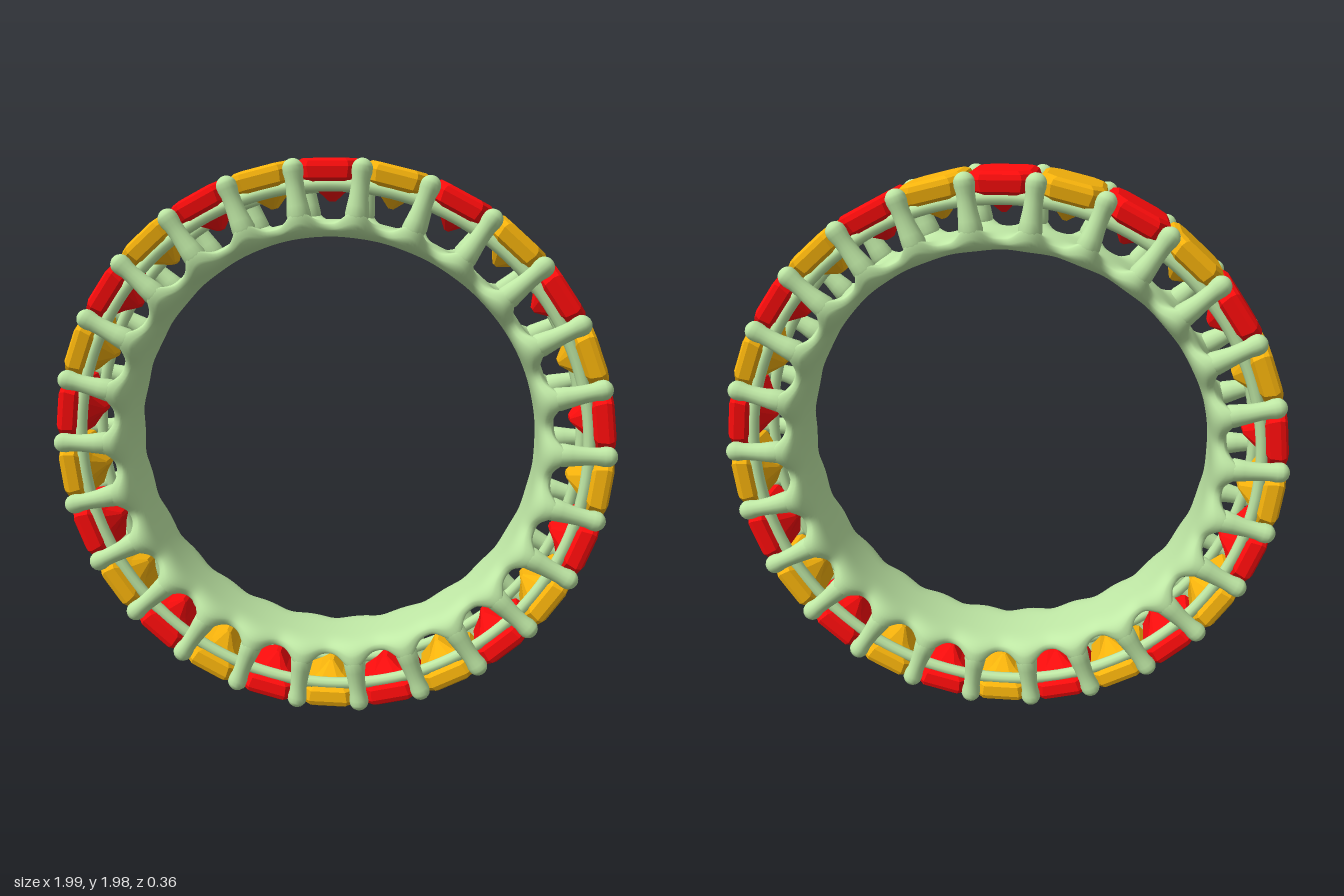
import * as THREE from 'three';

const COUNT = 26;
const STEP = (Math.PI * 2) / COUNT;
const metal = new THREE.MeshStandardMaterial({ color: 0xbfe8a5 });
const red = new THREE.MeshStandardMaterial({ color: 0xff0c0c, flatShading: true });
const amber = new THREE.MeshStandardMaterial({ color: 0xf8b40c, flatShading: true });

// Closed ring surface: section(angle, t) returns [radius, z]; smooth and shared across the seams
function ringSurface(segA, segT, section) {
  const pos = [], idx = [];
  for (let i = 0; i < segA; i++) {
    const a = (i / segA) * Math.PI * 2;
    for (let j = 0; j < segT; j++) {
      const [r, z] = section(a, (j / segT) * Math.PI * 2);
      pos.push(Math.sin(a) * r, Math.cos(a) * r, z);
      const i2 = (i + 1) % segA, j2 = (j + 1) % segT;
      const p = i * segT + j, q = i2 * segT + j, s = i2 * segT + j2, u = i * segT + j2;
      idx.push(p, s, q, p, u, s);
    }
  }
  const g = new THREE.BufferGeometry();
  g.setAttribute('position', new THREE.Float32BufferAttribute(pos, 3));
  g.setIndex(idx);
  g.computeVertexNormals();
  return g;
}

// Inner band: widens and climbs at its edges wherever a claw grows out of it
function bandSection(a, t) {
  const bump = 0.5 - 0.5 * Math.cos(a * COUNT);
  const soft = (v) => Math.sign(v) * Math.pow(Math.abs(v), 0.6);
  const across = soft(Math.sin(t));
  const edge = Math.abs(across);
  const z = (0.138 + 0.038 * bump) * across;
  const inner = 0.73 + 0.012 * Math.pow(edge, 6);
  const outer = 0.788 + 0.075 * Math.pow(bump, 1.7) * Math.pow(edge, 3);
  return [inner + (outer - inner) * (0.5 + 0.5 * soft(Math.cos(t))), z];
}

// Step-cut stone: stacked octagons [height, half width, half depth, corner cut]
function stoneGeometry() {
  const tiers = [
    [0.848, 0.008, 0.035, 0.004],
    [0.885, 0.045, 0.09, 0.02],
    [0.925, 0.104, 0.147, 0.04],
    [0.962, 0.114, 0.152, 0.044],
    [0.979, 0.108, 0.146, 0.042],
    [0.989, 0.092, 0.13, 0.036],
  ];
  const pos = [], idx = [];
  tiers.forEach(([y, w, d, c]) => {
    const ring = [[w, d - c], [w, c - d], [w - c, -d], [c - w, -d], [-w, c - d], [-w, d - c], [c - w, d], [w - c, d]];
    ring.forEach(([x, z]) => pos.push(x, y, z));
  });
  for (let k = 0; k < tiers.length - 1; k++) {
    for (let j = 0; j < 8; j++) {
      const p = k * 8 + j, q = k * 8 + ((j + 1) % 8);
      idx.push(p, q, q + 8, p, q + 8, p + 8);
    }
  }
  const top = (tiers.length - 1) * 8;
  for (let j = 1; j < 7; j++) {
    idx.push(top, top + j, top + j + 1);
    idx.push(0, j + 1, j);
  }
  const g = new THREE.BufferGeometry();
  g.setAttribute('position', new THREE.Float32BufferAttribute(pos, 3));
  g.setIndex(idx);
  const flat = g.toNonIndexed();
  flat.computeVertexNormals();
  return flat;
}

// Claw: closed root buried in the band, slim leg, rounded tip
function clawGeometry() {
  const profile = [[0, 0.755], [0.022, 0.76], [0.036, 0.785], [0.041, 0.81], [0.037, 0.84], [0.033, 0.87], [0.031, 0.9], [0.031, 0.93], [0.035, 0.95]]
    .map(([r, y]) => new THREE.Vector2(r, y));
  for (let k = 1; k <= 6; k++) {
    const a = (k / 6) * Math.PI / 2;
    profile.push(new THREE.Vector2(Math.max(0, 0.036 * Math.cos(a)), 0.959 + 0.036 * Math.sin(a)));
  }
  const g = new THREE.LatheGeometry(profile, 14);
  // Lean the root inward so the flare blends with the band
  const p = g.attributes.position;
  for (let i = 0; i < p.count; i++) {
    const root = THREE.MathUtils.clamp((0.87 - p.getY(i)) / 0.1, 0, 1);
    p.setZ(i, p.getZ(i) - 0.014 * root);
  }
  return g;
}

export function createModel() {
  const model = new THREE.Group();
  const ring = new THREE.Group();
  ring.name = 'ring';
  ring.position.y = 1;
  model.add(ring);

  const add = (name, geometry, material, angle = 0) => {
    const mesh = new THREE.Mesh(geometry, material);
    mesh.name = name;
    mesh.rotation.z = -angle;
    ring.add(mesh);
    return mesh;
  };

  add('innerBand', ringSurface(COUNT * 16, 40, bandSection), metal);

  // Two thin rails that carry the stones
  const rail = new THREE.TorusGeometry(0.902, 0.021, 10, 156);
  for (const side of [1, -1]) {
    add(side > 0 ? 'frontRail' : 'backRail', rail, metal).position.z = side * 0.115;
  }

  // Alternating stones, with a pair of claws at each joint
  const stone = stoneGeometry();
  const claw = clawGeometry();
  for (let i = 0; i < COUNT; i++) {
    add(i % 2 ? 'amberStone' : 'redStone', stone, i % 2 ? amber : red, i * STEP);
    const joint = (i + 0.5) * STEP;
    add('frontClaw', claw, metal, joint).position.z = 0.146;
    // The back claw is the front one turned half round its own length
    const back = add('backClaw', claw, metal, joint);
    back.position.z = -0.146;
    back.rotateY(Math.PI);
  }
  return model;
}
